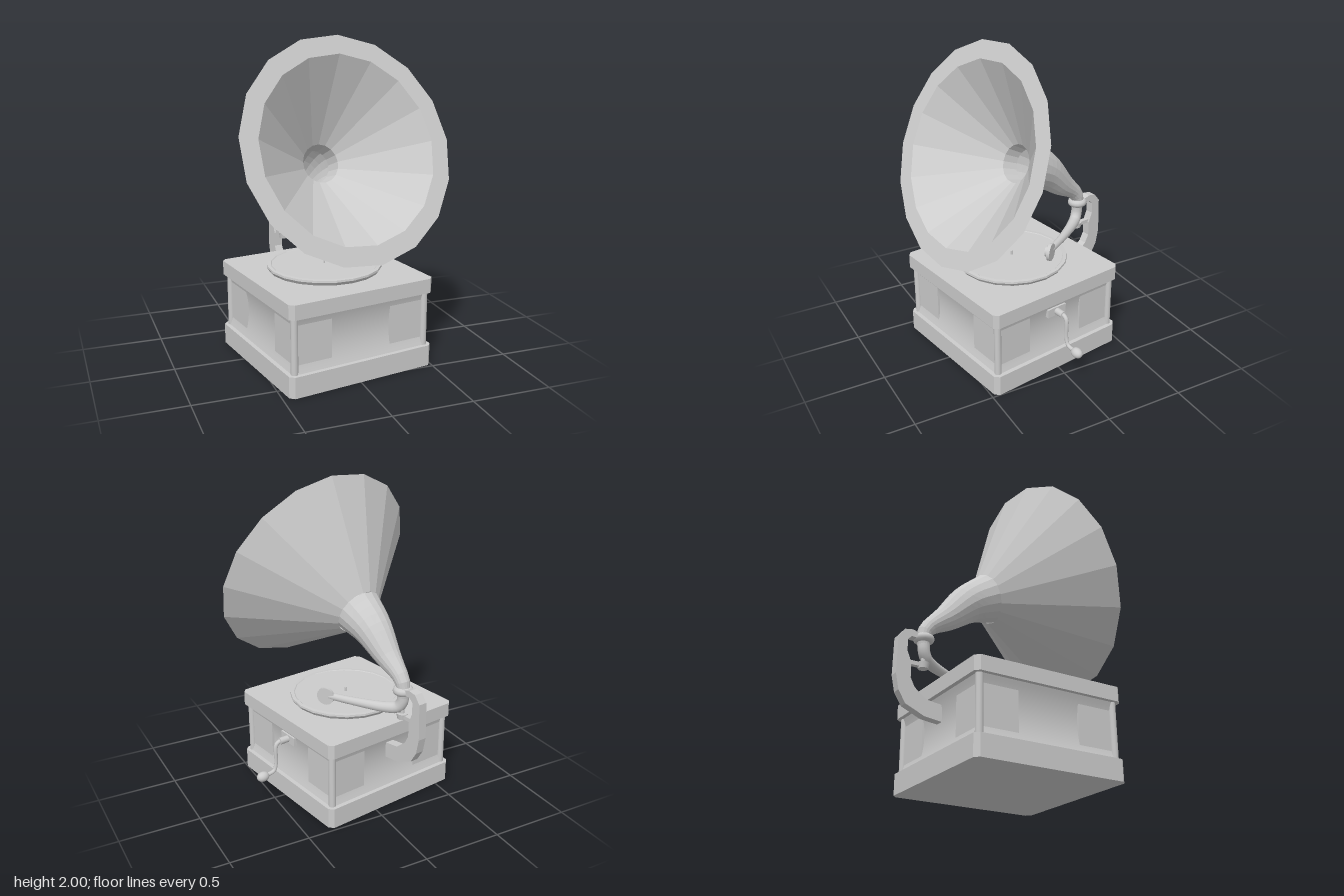
import * as THREE from 'three';
import { toCreasedNormals } from 'three/addons/utils/BufferGeometryUtils.js';

const smooth = new THREE.MeshStandardMaterial({ color: 0xcccccc });
const flat = new THREE.MeshStandardMaterial({ color: 0xcccccc, flatShading: true });
const flatOpen = new THREE.MeshStandardMaterial({ color: 0xcccccc, flatShading: true, side: THREE.DoubleSide });
const V = (x, y, z) => new THREE.Vector3(x, y, z);
const SIDES = 17; // facets of the horn

function add(parent, name, geometry, material = smooth, x = 0, y = 0, z = 0) {
  const mesh = new THREE.Mesh(geometry, material);
  mesh.name = name;
  mesh.position.set(x, y, z);
  parent.add(mesh);
  return mesh;
}

const shapeOf = (pts) => new THREE.Shape(pts.map(([x, y]) => new THREE.Vector2(x, y)));
const lathe = (pts, sides) =>
  new THREE.LatheGeometry(pts.map(([r, y]) => new THREE.Vector2(r, y)), sides, Math.PI / 2);

// Square slab of half width h with corners cut by c
function slab(h, c, y0, y1) {
  const k = h - c;
  const shape = shapeOf([[-k, -h], [k, -h], [h, -k], [h, k], [k, h], [-k, h], [-h, k], [-h, -k]]);
  return new THREE.ExtrudeGeometry(shape, { depth: y1 - y0, bevelEnabled: false })
    .rotateX(-Math.PI / 2).translate(0, y0, 0);
}

// Tube whose radius runs through evenly spaced values along its path
function taperedTube(points, radii, steps, sides) {
  const curve = new THREE.CatmullRomCurve3(points, false, 'centripetal');
  const geo = new THREE.TubeGeometry(curve, steps, 1, sides);
  const pos = geo.attributes.position, v = V(0, 0, 0);
  for (let i = 0; i <= steps; i++) {
    const center = curve.getPointAt(i / steps);
    const f = (i / steps) * (radii.length - 1), a = Math.min(Math.floor(f), radii.length - 2);
    const r = THREE.MathUtils.lerp(radii[a], radii[a + 1], f - a);
    for (let j = 0; j <= sides; j++) {
      const n = i * (sides + 1) + j;
      v.fromBufferAttribute(pos, n).sub(center).multiplyScalar(r).add(center);
      pos.setXYZ(n, v.x, v.y, v.z);
    }
  }
  return geo;
}

function makeCabinet() {
  const g = new THREE.Group();
  g.name = 'cabinet';
  add(g, 'base', slab(0.487, 0.027, 0, 0.13));
  add(g, 'lid', slab(0.487, 0.027, 0.47, 0.56));
  // Concave panels between slim corner posts
  const profile = new THREE.Shape();
  profile.moveTo(0.2, 0.13);
  profile.lineTo(0.46, 0.13);
  profile.quadraticCurveTo(0.4, 0.3, 0.46, 0.47);
  profile.lineTo(0.2, 0.47);
  const panel = toCreasedNormals(
    new THREE.ExtrudeGeometry(profile, { depth: 0.89, bevelEnabled: false, curveSegments: 14 })
      .translate(0, 0, -0.445), 0.5);
  for (let i = 0; i < 4; i++) {
    add(g, 'sidePanel', panel).rotation.y = (i * Math.PI) / 2;
    const sx = i < 2 ? 1 : -1, sz = i % 2 ? 1 : -1;
    add(g, 'cornerPost', new THREE.CylinderGeometry(0.022, 0.022, 0.34, 12), smooth, sx * 0.444, 0.3, sz * 0.444);
  }
  return g;
}

function makeTurntable() {
  const g = new THREE.Group();
  g.name = 'turntable';
  add(g, 'platter', lathe([[0, 0.555], [0.31, 0.56], [0.345, 0.568], [0.359, 0.588], [0.357, 0.6],
    [0.335, 0.602], [0.33, 0.598], [0, 0.598]], 20), flat);
  add(g, 'spindle', new THREE.CylinderGeometry(0.006, 0.006, 0.04, 8), smooth, 0, 0.605, 0);
  return g;
}

function makeHorn() {
  const g = new THREE.Group();
  g.name = 'horn';
  // Thick-walled flare with a flat rim, tipped upward
  const flare = add(g, 'flare', lathe([[0.153, -0.48], [0.685, 0], [0.57, 0], [0.12, -0.38], [0.105, -0.48]], SIDES),
    flatOpen, 0, 1.365, 0.31);
  flare.rotation.x = Math.PI / 2 - 0.39;
  add(g, 'neck', taperedTube([V(0, 1.19, -0.13), V(0, 1.118, -0.262), V(0, 0.985, -0.41), V(0, 0.892, -0.527),
    V(0, 0.84, -0.557), V(0, 0.77, -0.557)], [0.153, 0.12, 0.088, 0.053, 0.036], 14, SIDES), flatOpen);
  const collar = add(g, 'collar', new THREE.TorusGeometry(0.037, 0.026, 10, 20), smooth, 0, 0.81, -0.557);
  collar.rotation.x = Math.PI / 2;
  return g;
}

function makeToneArm() {
  const g = new THREE.Group();
  g.name = 'toneArm';
  add(g, 'armTube', taperedTube([V(0, 0.8, -0.557), V(0, 0.735, -0.553), V(0.012, 0.695, -0.53), V(0.05, 0.68, -0.468),
    V(0.14, 0.678, -0.31), V(0.228, 0.68, -0.135)], [0.036, 0.036, 0.03, 0.025, 0.022], 24, 14));
  // Sound box standing beside the arm's end
  const axis = V(0.87, 0, -0.5).normalize();
  const box = new THREE.Group();
  box.name = 'soundBox';
  box.position.set(0.248, 0.68, -0.121);
  box.quaternion.setFromUnitVectors(V(0, 1, 0), axis);
  add(box, 'soundBoxDisc', new THREE.CylinderGeometry(0.056, 0.056, 0.02, 20));
  add(box, 'soundBoxHub', new THREE.CylinderGeometry(0.03, 0.035, 0.036, 16), smooth, 0, -0.012, 0);
  g.add(box);
  return g;
}

function makeBracket() {
  const g = new THREE.Group();
  g.name = 'bracket';
  // Side outline as [z, y], from the top lug round the back to the cabinet
  const outline = [[-0.58, 0.825], [-0.64, 0.843], [-0.69, 0.835], [-0.73, 0.785], [-0.735, 0.557], [-0.715, 0.46],
    [-0.67, 0.387], [-0.55, 0.334], [-0.44, 0.32], [-0.44, 0.42], [-0.545, 0.435], [-0.616, 0.493], [-0.643, 0.546],
    [-0.643, 0.637], [-0.67, 0.705], [-0.67, 0.775], [-0.645, 0.8], [-0.58, 0.795]];
  const geo = new THREE.ExtrudeGeometry(shapeOf(outline.map(([z, y]) => [-z, y])), { depth: 0.055, bevelEnabled: false })
    .translate(0, 0, -0.0275).rotateY(Math.PI / 2);
  add(g, 'bracketArm', geo);
  // Lower pivot under the tone arm bend
  add(g, 'pivotBar', new THREE.BoxGeometry(0.03, 0.025, 0.1), smooth, 0, 0.645, -0.605);
  add(g, 'pivotCup', new THREE.CylinderGeometry(0.036, 0.03, 0.036, 14), smooth, 0, 0.643, -0.555);
  add(g, 'pivotPin', new THREE.CylinderGeometry(0.014, 0.014, 0.06, 10), smooth, 0, 0.675, -0.555);
  return g;
}

function makeCrank() {
  const g = new THREE.Group();
  g.name = 'crank';
  add(g, 'crankPlate', new THREE.BoxGeometry(0.04, 0.055, 0.14), smooth, 0.44, 0.4, 0);
  add(g, 'crankSocket', new THREE.CylinderGeometry(0.022, 0.022, 0.09, 14).rotateZ(Math.PI / 2), smooth, 0.475, 0.4, 0);
  add(g, 'crankRod', taperedTube([V(0.46, 0.4, 0), V(0.52, 0.4, 0), V(0.545, 0.385, 0), V(0.552, 0.25, 0),
    V(0.57, 0.207, 0), V(0.64, 0.195, 0)], [0.014, 0.014, 0.012, 0.012, 0.014], 28, 10));
  const knob = add(g, 'crankKnob', new THREE.SphereGeometry(0.032, 16, 12), smooth, 0.65, 0.195, 0);
  knob.scale.x = 1.3;
  return g;
}

export function createModel() {
  const model = new THREE.Group();
  model.name = 'gramophone';
  // The whole machine is turned slightly to its left
  const body = new THREE.Group();
  body.name = 'machine';
  body.position.set(-0.055, 0, 0.075);
  body.rotation.y = THREE.MathUtils.degToRad(9.4);
  body.add(makeCabinet(), makeTurntable(), makeHorn(), makeToneArm(), makeBracket(), makeCrank());
  model.add(body);
  return model;
}
